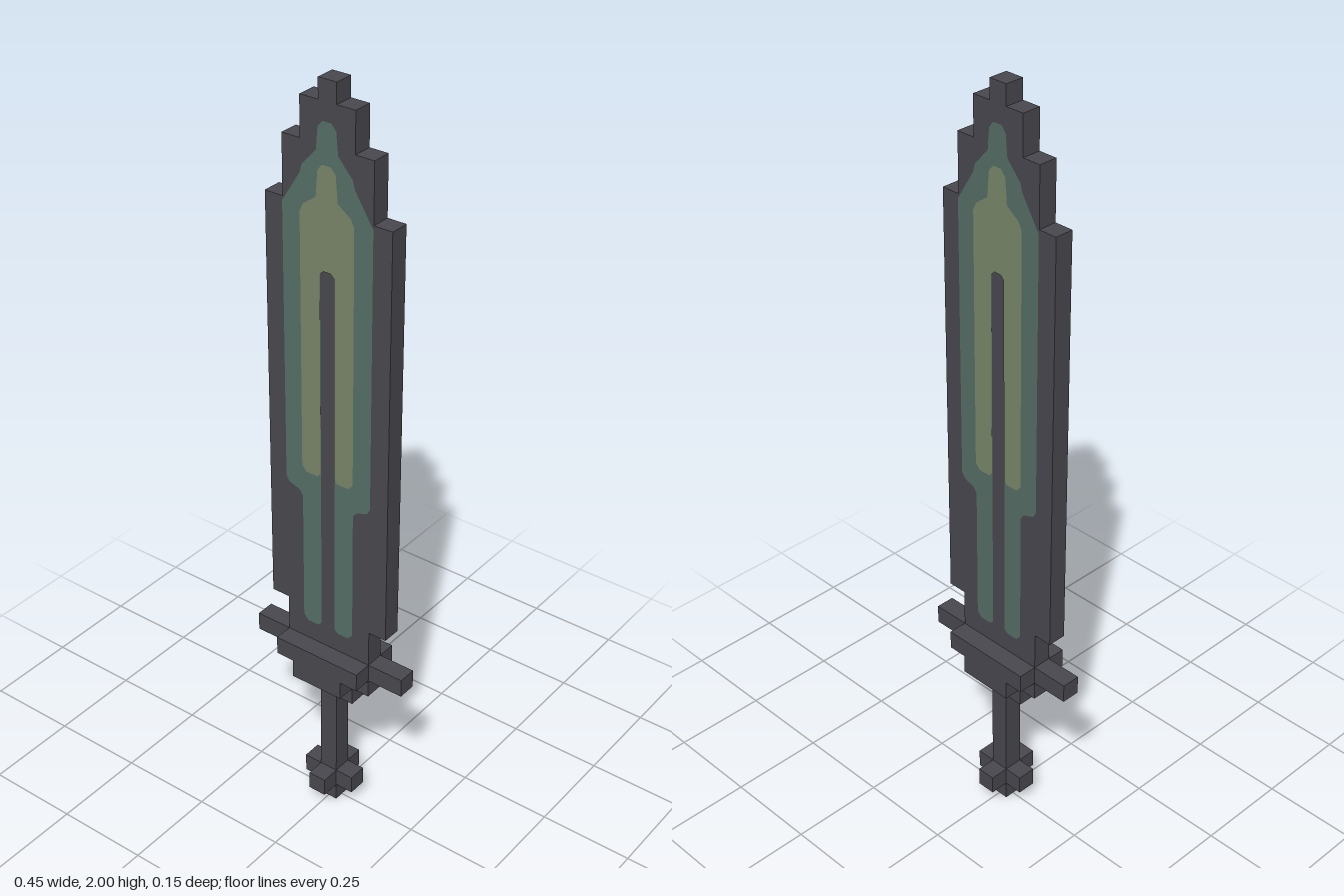
import * as THREE from 'three';

const V = 0.05; // edge of one block

const material = (name, color) => {
  const m = new THREE.MeshStandardMaterial({ color });
  m.name = name;
  return m;
};

// Closed shape from the right half of a symmetric outline, listed bottom to top
function mirroredShape(half) {
  const left = half.map(([x, y]) => [-x, y]).reverse();
  return new THREE.Shape([...half, ...left].map(([x, y]) => new THREE.Vector2(x, y)));
}

// Stepped half outline from rows of [half width, bottom, top]
const steps = (rows) => rows.flatMap(([w, y0, y1]) => [[w, y0], [w, y1]]);

export function createModel() {
  const group = new THREE.Group();
  const dark = material('darkMetal', 0x49484f);
  const teal = material('tealInlay', 0x566f66);
  const green = material('paleGreenInlay', 0x7a876b);

  function add(name, geometry, mat, parent = group) {
    const mesh = new THREE.Mesh(geometry, mat);
    mesh.name = name;
    parent.add(mesh);
    return mesh;
  }

  // Stepped slab, one block thick by default
  function slab(name, rows, z = 0, depth = V) {
    const geo = new THREE.ExtrudeGeometry(mirroredShape(steps(rows)), { depth, bevelEnabled: false });
    add(name, geo.translate(0, 0, z - depth / 2), dark);
  }

  // Blade, guard and grip
  slab('blade', [[0.125, 0.5, 0.6], [0.175, 0.6, 1.7], [0.125, 1.7, 1.85], [0.075, 1.85, 1.95], [0.025, 1.95, 2]]);
  slab('guard', [[0.075, 0.35, 0.4], [0.125, 0.4, 0.45], [0.225, 0.45, 0.5]]);
  for (const s of [1, -1]) {
    slab(s > 0 ? 'guardFrontPlate' : 'guardBackPlate', [[0.075, 0.4, 0.45], [0.125, 0.45, 0.5]], s * V);
  }
  slab('grip', [[0.025, 0, 0.35]]);

  // Pommel: four blocks around the grip
  const pommel = new THREE.Group();
  pommel.name = 'pommel';
  group.add(pommel);
  for (const [x, z] of [[V, 0], [-V, 0], [0, V], [0, -V]]) {
    add('pommelBlock', new THREE.BoxGeometry(V, V, V).translate(x, 0.075, z), dark, pommel);
  }

  // Inlays as open-bottomed arches around the central slot
  const slot = [[0.02, 1.54], [0.01, 1.55]];
  const tealHalf = [
    [0.02, 0.565], [0.03, 0.555], [0.062, 0.555], [0.075, 0.57], [0.075, 0.925], [0.085, 0.94],
    [0.115, 0.95], [0.125, 0.965], [0.125, 1.69], [0.075, 1.77], [0.07, 1.79], [0.03, 1.835],
    [0.025, 1.89], [0.012, 1.905],
  ];
  const greenHalf = [
    [0.02, 1.01], [0.03, 1], [0.062, 1], [0.075, 1.015], [0.075, 1.68], [0.065, 1.7],
    [0.03, 1.725], [0.025, 1.79], [0.012, 1.805],
  ];
  const arch = (half) => {
    const right = [...[...slot].reverse(), ...half];
    return new THREE.ShapeGeometry(mirroredShape(right));
  };
  // The same painted faces on the front and the back
  for (const side of ['front', 'back']) {
    const face = new THREE.Group();
    face.name = side + 'Inlay';
    if (side === 'back') face.rotation.y = Math.PI;
    add('tealBand', arch(tealHalf), teal, face).position.z = 0.0265;
    add('greenBand', arch(greenHalf), green, face).position.z = 0.028;
    group.add(face);
  }
  return group;
}
